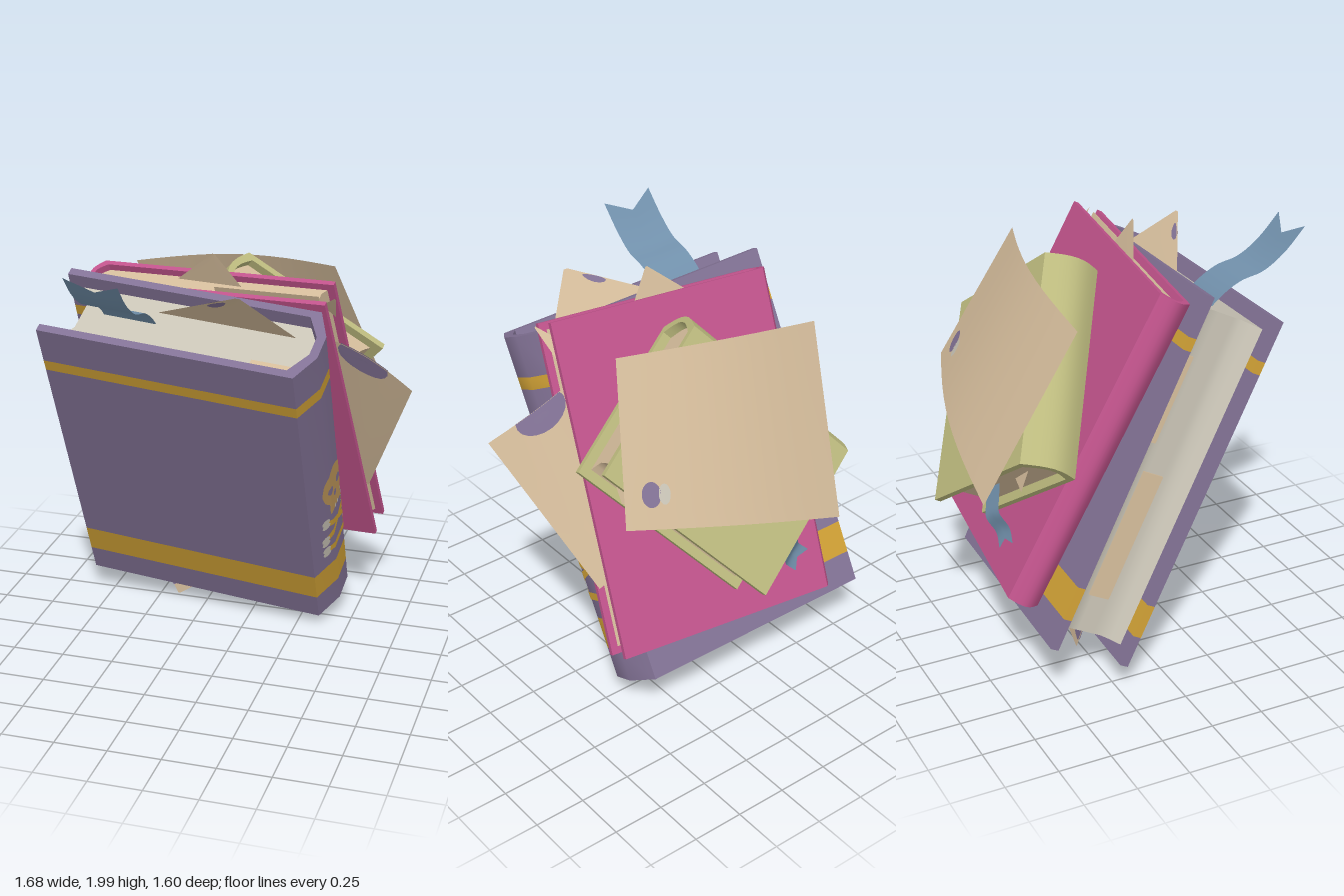
import * as THREE from 'three';
import { toCreasedNormals } from 'three/addons/utils/BufferGeometryUtils.js';

const V = (x, y, z) => new THREE.Vector3(x, y, z);
const mat = (name, color) =>
  new THREE.MeshStandardMaterial({ name, color, side: THREE.DoubleSide });

const purple = mat('purple', 0x827295);
const gold = mat('gold', 0xcfa035);
const dullGold = mat('dull gold', 0xc0985a);
const grey = mat('page grey', 0xc8c3b5);
const pink = mat('pink', 0xc0538b);
const green = mat('olive green', 0xbcba7e);
const tan = mat('paper tan', 0xd3bb9a);
const blue = mat('ribbon blue', 0x7190ab);

function add(parent, name, geometry, material) {
  const mesh = new THREE.Mesh(geometry, material);
  mesh.name = name;
  parent.add(mesh);
  return mesh;
}

// Grid surface from a rule (u, v) -> point
function surface(fn, nu, nv) {
  const g = new THREE.PlaneGeometry(1, 1, nu, nv);
  const p = g.attributes.position;
  for (let i = 0; i < p.count; i++) {
    const q = fn(p.getX(i) + 0.5, p.getY(i) + 0.5);
    p.setXYZ(i, q.x, q.y, q.z);
  }
  g.computeVertexNormals();
  return g;
}

// Section in (x, depth) raised from y0 to y1; depth runs towards -z
function prism(points, y0, y1) {
  const shape = new THREE.Shape(points.map(([x, d]) => new THREE.Vector2(x, d)));
  const g = new THREE.ExtrudeGeometry(shape, { depth: y1 - y0, bevelEnabled: false });
  g.rotateX(-Math.PI / 2).translate(0, y0, 0);
  return toCreasedNormals(g, 0.6);
}

// Book with its fore edge at x = 0 and its spine at x = side * w
function book(parent, name, o) {
  const group = new THREE.Group();
  group.name = name;
  group.position.set(...o.at);
  group.rotation.z = o.turn;
  parent.add(group);
  const spine = (inset) => o.spine.map(([f, b]) =>
    [o.side * (o.w + b - inset), inset + (o.T - 2 * inset) * f]);
  const section = [[0, 0], ...spine(0), [0, o.T], [0, o.T - o.t], ...spine(o.t).reverse(), [0, o.t]];
  for (const [y0, y1, m] of o.bands) add(group, 'cover', prism(section, y0, y1), m);
  // Page block with a hollow fore edge
  const pages = spine(o.t);
  for (let k = 8; k >= 0; k--) {
    const hollow = Math.min(1, 1.5 * Math.sin(Math.PI * k / 8)) * o.hollow;
    pages.push([o.side * (o.recess + hollow), o.t + (o.T - 2 * o.t) * k / 8]);
  }
  add(group, 'pages', prism(pages, o.recess, o.H - o.recess), o.pages);
  return group;
}

// Loose sheet a-b-c-d, arched along a-d, with optional round stains
function sheet(parent, name, corners, bow = 0, stains = []) {
  const [a, b, c, d] = corners.map((p) => V(...p));
  const n = b.clone().sub(a).cross(d.clone().sub(a)).normalize();
  const at = (u, v, off = 0) => a.clone().lerp(b, u).lerp(d.clone().lerp(c, u), v)
    .addScaledVector(n, off + bow * Math.sin(Math.PI * v));
  add(parent, name, surface((u, v) => at(u, v), 12, 12), tan);
  const clamp = (t) => THREE.MathUtils.clamp(t, 0, 1);
  for (const [su, sv, ru, rv, m] of stains) for (const off of [0.004, -0.004]) {
    add(parent, name + 'Stain', surface((u, r) => at(
      clamp(su + ru * r * Math.cos(u * Math.PI * 2)),
      clamp(sv + rv * r * Math.sin(u * Math.PI * 2)), off), 20, 4), m);
  }
}

// Bookmark ribbon along a path, spread in x, with a swallowtail end
function ribbon(parent, name, points, half, notch, tilt) {
  const curve = new THREE.CatmullRomCurve3(points.map((p) => V(...p)));
  add(parent, name, surface((u, v) => {
    const s = 2 * u - 1;
    const p = curve.getPoint(v * (1 - notch * (1 - Math.abs(s))));
    return p.add(V(s * half, -s * tilt, s * tilt));
  }, 4, 24), blue);
}

// Painted emblem on the faceted spine: columns in depth between two height rules
const spineDepths = [0, 0.14, 0.27, 0.41], spineBulge = [0, 0.065, 0.065, 0];
function spineX(d) {
  const i = d < 0.14 ? 0 : d < 0.27 ? 1 : 2;
  const f = (d - spineDepths[i]) / (spineDepths[i + 1] - spineDepths[i]);
  return 1.205 + THREE.MathUtils.lerp(spineBulge[i], spineBulge[i + 1], f);
}
function decal(parent, name, m, d0, d1, lo, hi, off) {
  const cols = [0.14, 0.27].filter((d) => d > d0 && d < d1);
  for (let i = 0; i <= 16; i++) cols.push(d0 + (d1 - d0) * i / 16);
  cols.sort((p, q) => p - q);
  const n = cols.length - 1;
  add(parent, name, surface((u, v) => {
    const d = cols[Math.round(u * n)];
    return V(spineX(d) + off, THREE.MathUtils.lerp(lo(d), hi(d), v), -d);
  }, n, 1), m);
}
function oval(parent, name, m, d, y, rd, ry, off) {
  const h = (q) => ry * Math.sqrt(Math.max(0, 1 - ((q - d) / rd) ** 2));
  decal(parent, name, m, d - rd, d + rd, (q) => y - h(q), (q) => y + h(q), off);
}
function bone(parent, dA, yA, dB, yB) {
  const y = (d) => yA + (yB - yA) * (d - dA) / (dB - dA);
  decal(parent, 'bone', gold, dA, dB, (d) => y(d) - 0.019, (d) => y(d) + 0.019, 0.003);
  for (const [d, e] of [[dA, yA], [dB, yB]])
    for (const k of [-1, 1]) oval(parent, 'boneEnd', grey, d, e + k * 0.014, 0.025, 0.018, 0.005);
}

export function createModel() {
  const root = new THREE.Group();
  root.name = 'bookStack';

  // Leaning frame shared by the three books
  const stack = new THREE.Group();
  stack.name = 'leaningBooks';
  const up = V(0.029, 0.894, 0.447).normalize();
  const out = V(0.996, -0.066, 0.062).cross(up).normalize();
  const across = up.clone().cross(out);
  stack.quaternion.setFromRotationMatrix(new THREE.Matrix4().makeBasis(across, up, out));
  stack.position.set(-0.84, 0.13, -0.215);
  root.add(stack);

  const roundSpine = (bulge) => Array.from({ length: 9 }, (_, k) =>
    [k / 8, bulge * Math.sin(Math.PI * k / 8)]);

  // Large book with gold bands
  const large = book(stack, 'largeBook', {
    at: [0, 0, 0], turn: 0, side: 1, w: 1.205, H: 1.72, T: 0.41, t: 0.04,
    spine: spineDepths.map((d, i) => [d / 0.41, spineBulge[i]]),
    recess: 0.07, hollow: 0.055, pages: grey,
    bands: [[0, 0.15, purple], [0.15, 0.31, gold], [0.31, 1.465, purple],
      [1.465, 1.525, gold], [1.525, 1.72, purple]],
  });

  // Skull and crossed bones on the spine
  oval(large, 'skull', dullGold, 0.195, 0.825, 0.106, 0.114, 0.003);
  decal(large, 'jaw', dullGold, 0.13, 0.26, () => 0.665, () => 0.77, 0.0035);
  for (const d of [0.145, 0.238]) oval(large, 'eyeSocket', purple, d, 0.822, 0.024, 0.024, 0.006);
  oval(large, 'noseHole', purple, 0.19, 0.765, 0.014, 0.02, 0.006);
  for (const d of [0.18, 0.21]) oval(large, 'tooth', grey, d, 0.678, 0.009, 0.012, 0.006);
  bone(large, 0.095, 0.62, 0.325, 0.5);
  bone(large, 0.085, 0.5, 0.325, 0.62);
  bone(large, 0.085, 0.425, 0.335, 0.425);

  // Medium book
  const medium = book(stack, 'mediumBook', {
    at: [1.384, 0.208, -0.412], turn: 0.105, side: -1, w: 1.13, H: 1.564, T: 0.155, t: 0.024,
    spine: roundSpine(0.045), recess: 0.035, hollow: 0.02, pages: tan, bands: [[0, 1.564, pink]],
  });

  // Small book
  const small = book(stack, 'smallBook', {
    at: [0.754, 0.29, -0.577], turn: -0.62, side: -1, w: 0.787, H: 1, T: 0.28, t: 0.03,
    spine: roundSpine(0.055), recess: 0.045, hollow: 0.04, pages: tan, bands: [[0, 1, green]],
  });

  // Ribbons
  ribbon(root, 'largeRibbon', [[-0.42, 1.64, 0.3], [-0.423, 1.72, 0.38], [-0.425, 1.78, 0.48],
    [-0.43, 1.81, 0.59], [-0.435, 1.88, 0.69], [-0.435, 1.99, 0.793]], 0.127, 0.1, 0.009);
  ribbon(small, 'smallRibbon', [[-0.287, 0.1, -0.14], [-0.287, -0.02, -0.13], [-0.285, -0.09, -0.12],
    [-0.29, -0.15, -0.06], [-0.3, -0.22, -0.04]], 0.06, 0.12, 0);

  // Loose sheet draped over the small book
  sheet(stack, 'drapedSheet', [[1.114, 1.56, -0.862], [1.32, 0.839, -0.862],
    [0.264, 0.477, -0.862], [0.095, 1.376, -0.862]], 0.065,
  [[0.8, 0.11, 0.075, 0.04, purple], [0.8, 0.165, 0.06, 0.025, grey]]);

  // Sheet slipping out beside the spine
  sheet(stack, 'sideSheet', [[0.9, 0.7, -0.48], [1.1, 1.5, -0.49],
    [1.61, 1.34, -0.39], [1.35, 0.53, -0.456]], 0.04, [[0.97, 0.52, 0.1, 0.24, purple]]);

  // Paper corners at the top and bottom
  sheet(root, 'topCorner', [[-0.4, 1.67, 0.235], [0.12, 1.885, 0.515],
    [0.14, 1.885, 0.515], [0.38, 1.63, 0.3]], 0, [[0.75, 0.15, 0.1, 0.13, purple]]);
  sheet(root, 'bottomCorner', [[-0.53, 0.24, -0.27], [-0.415, 0.005, -0.27],
    [-0.405, 0.005, -0.27], [-0.06, 0.24, -0.27]], 0, [[0.6, 0, 0.2, 0.3, purple]]);
  sheet(root, 'middleCorner', [[-0.36, 1.74, 0.04], [-0.085, 1.97, 0.175],
    [-0.075, 1.97, 0.175], [0.06, 1.78, 0.12]]);
  sheet(root, 'smallCorner', [[0.42, 1.77, 0.16], [0.495, 1.83, 0.235],
    [0.5, 1.825, 0.235], [0.47, 1.7, 0.1]]);

  // Slips lying on the page edges
  const slip = (parent, name, size, at) =>
    add(parent, name, new THREE.BoxGeometry(...size), tan).position.set(...at);
  slip(large, 'topSlip', [0.2, 0.012, 0.045], [1.07, 1.652, -0.095]);
  slip(large, 'bottomSlip', [0.56, 0.012, 0.06], [0.76, 0.068, -0.24]);
  slip(large, 'edgeSlipLow', [0.016, 0.62, 0.1], [0.12, 0.56, -0.22]);
  slip(large, 'edgeSlipHigh', [0.016, 0.42, 0.06], [0.108, 1.22, -0.315]);
  slip(medium, 'topSlip', [0.5, 0.05, 0.006], [-0.3, 1.532, -0.06]);

  // Small paper points in the other books
  const point = (parent, a, tip, b) => sheet(parent, 'paperPoint', [a, tip, tip, b]);
  point(medium, [-0.7, 0.05, -0.07], [-0.6, -0.03, -0.06], [-0.5, 0.05, -0.08]);
  point(medium, [-0.05, 0.5, -0.07], [0.02, 0.62, -0.06], [-0.05, 0.95, -0.08]);
  point(small, [-0.5, 0.94, -0.1], [-0.42, 1.03, -0.12], [-0.3, 0.94, -0.14]);
  point(small, [-0.06, 0.7, -0.1], [0.02, 0.78, -0.12], [-0.06, 0.9, -0.13]);
  point(small, [-0.62, 0.06, -0.14], [-0.55, -0.04, -0.13], [-0.45, 0.06, -0.12]);

  return root;
}
